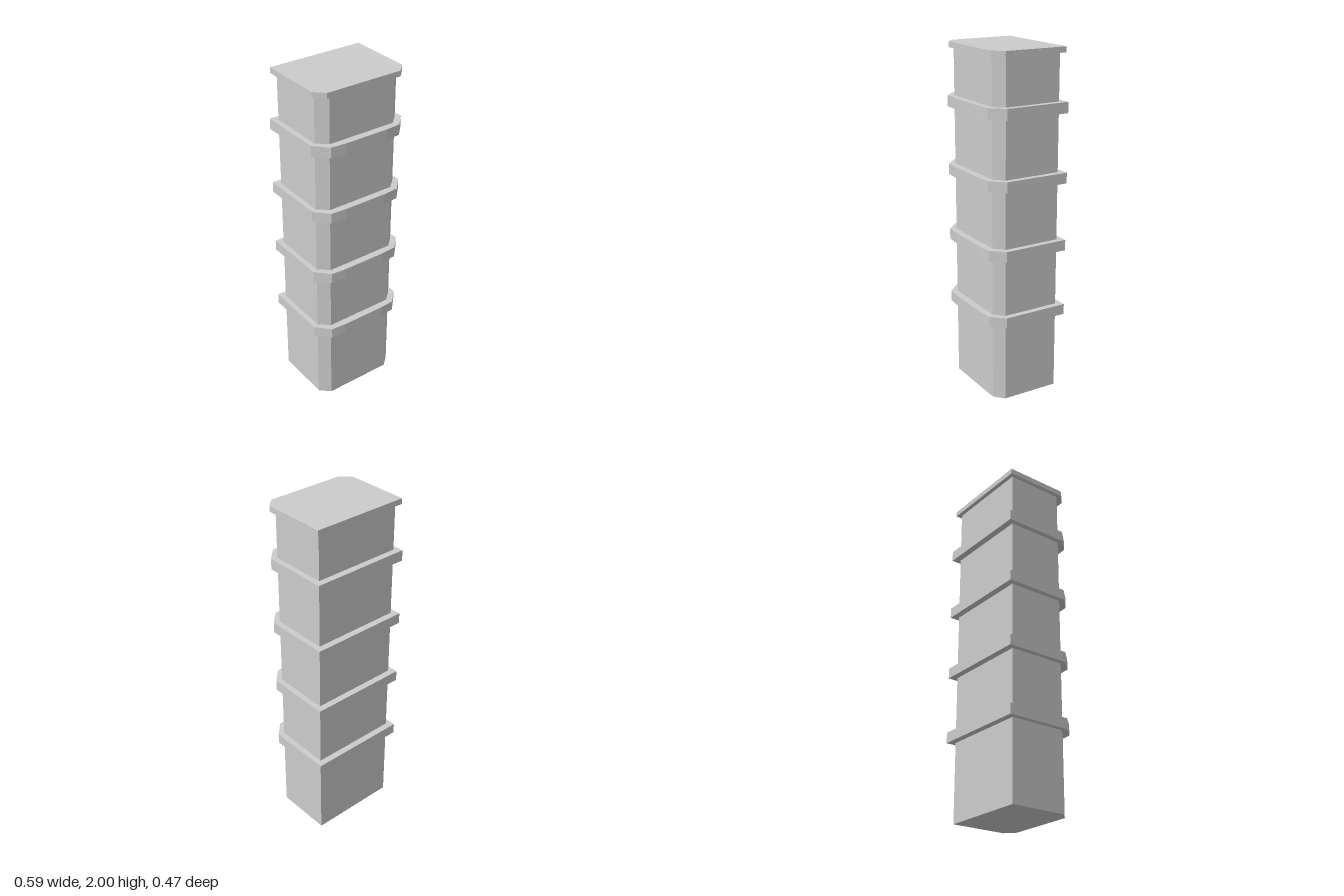
import * as THREE from 'three';

const material = new THREE.MeshStandardMaterial({ color: 0xcccccc, flatShading: true });

// Horizontal slab from an [x, z] outline, spanning y0 to y1
function slab(name, outline, y0, y1) {
  const shape = new THREE.Shape(outline.map(([x, z]) => new THREE.Vector2(x, -z)));
  const geometry = new THREE.ExtrudeGeometry(shape, { depth: y1 - y0, bevelEnabled: false });
  geometry.rotateX(-Math.PI / 2).translate(0, y0, 0);
  const mesh = new THREE.Mesh(geometry, material);
  mesh.name = name;
  return mesh;
}

// Square back corners, chamfered front corners
const bodyOutline = [
  [-0.263, -0.198], [0.26, -0.198], [0.26, 0.139],
  [0.204, 0.191], [-0.206, 0.191], [-0.263, 0.139],
];
const capOutline = [
  [-0.287, -0.222], [0.285, -0.222], [0.285, 0.155],
  [0.231, 0.209], [-0.233, 0.209], [-0.287, 0.155],
];
// Bands bow slightly outward at the front
const bandOutline = [
  [-0.294, -0.236], [0.294, -0.236], [0.294, 0.15], [0.222, 0.226],
  [0.132, 0.233], [-0.132, 0.233], [-0.222, 0.226], [-0.294, 0.15],
];

export function createModel() {
  const group = new THREE.Group();
  group.name = 'bandedColumn';
  group.add(slab('body', bodyOutline, 0, 1.98));
  group.add(slab('cap', capOutline, 1.968, 2));

  // Four evenly spaced raised bands
  for (let i = 0; i < 4; i++) {
    const y = 0.46 + i * 0.394;
    group.add(slab(`band${i + 1}`, bandOutline, y, y + 0.062));
  }
  return group;
}
